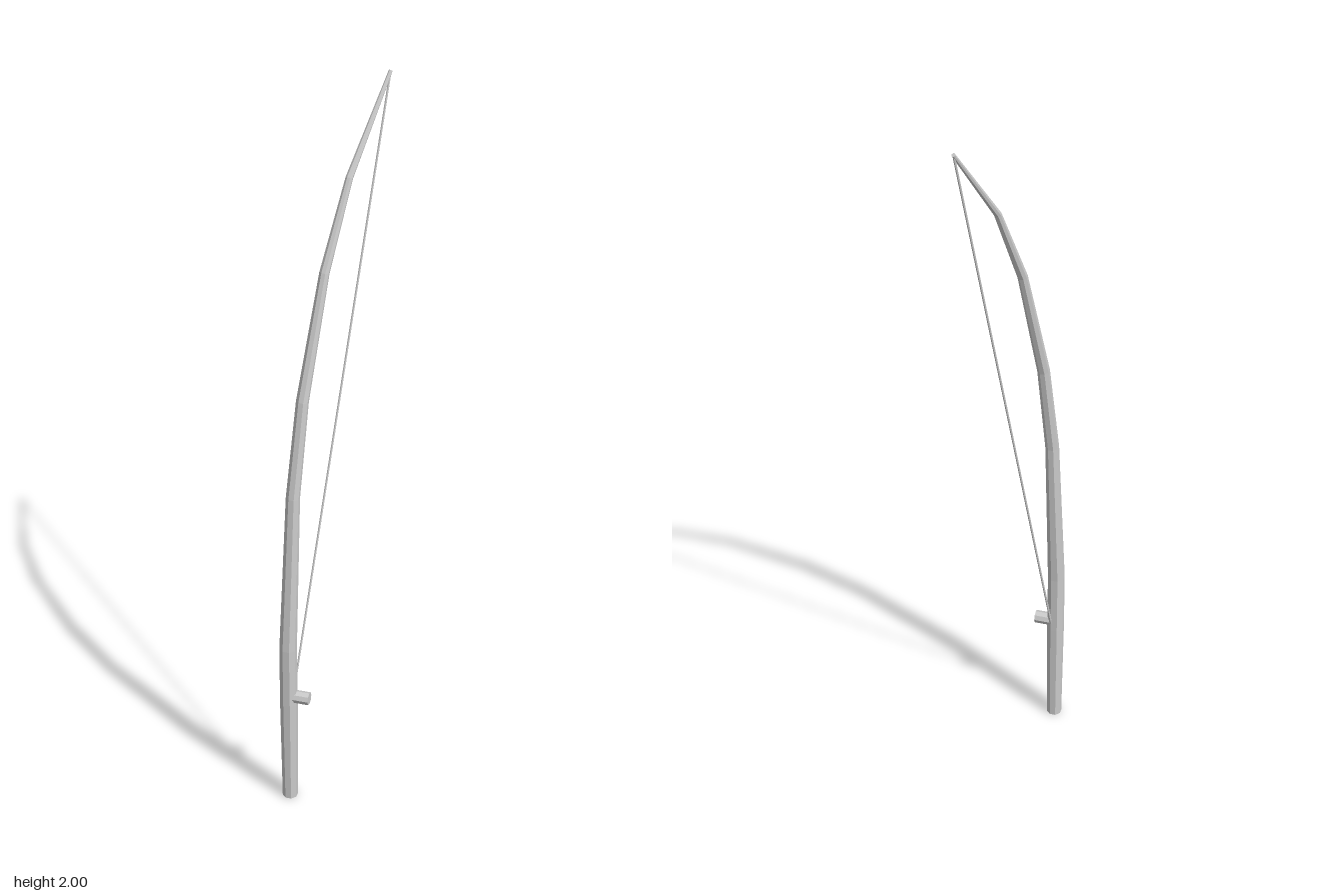
import * as THREE from 'three';

const SIDES = 8;
const Z = -0.018;
const material = new THREE.MeshStandardMaterial({ color: 0xcccccc, flatShading: true });

// Tapered, capped tube through stations [x, y, radius], rings square to the bend
function loft(stations) {
  const pos = [], index = [];
  const last = stations.length - 1;
  stations.forEach(([x, y, r], i) => {
    const a = stations[Math.max(i - 1, 0)], b = stations[Math.min(i + 1, last)];
    const t = new THREE.Vector2(b[0] - a[0], b[1] - a[1]).normalize();
    for (let k = 0; k < SIDES; k++) {
      const ang = (k / SIDES) * Math.PI * 2, u = r * Math.cos(ang);
      pos.push(x + u * t.y, y - u * t.x, Z + r * Math.sin(ang));
    }
  });
  for (let i = 0; i < last; i++) {
    for (let k = 0; k < SIDES; k++) {
      const n = (k + 1) % SIDES, lo = i * SIDES, hi = lo + SIDES;
      index.push(lo + k, hi + k, hi + n, lo + k, hi + n, lo + n);
    }
  }
  // End caps as fans
  const top = last * SIDES;
  for (let k = 1; k < SIDES - 1; k++) {
    index.push(0, k, k + 1, top, top + k + 1, top + k);
  }
  const indexed = new THREE.BufferGeometry();
  indexed.setAttribute('position', new THREE.Float32BufferAttribute(pos, 3));
  indexed.setIndex(index);
  const geo = indexed.toNonIndexed();
  geo.computeVertexNormals();
  return geo;
}

// Straight cylinder between two points
function rodBetween(a, b, radius, sides, twist = 0) {
  const dir = b.clone().sub(a);
  const geo = new THREE.CylinderGeometry(radius, radius, dir.length(), sides);
  geo.rotateY(twist);
  const mesh = new THREE.Mesh(geo, material);
  mesh.position.copy(a).add(b).multiplyScalar(0.5);
  mesh.quaternion.setFromUnitVectors(new THREE.Vector3(0, 1, 0), dir.normalize());
  return mesh;
}

export function createModel() {
  const group = new THREE.Group();
  group.name = 'fishingRod';

  // Bent pole, thick at the grip and thin at the tip
  const pole = new THREE.Mesh(loft([
    [-0.2, 0, 0.021],
    [-0.2, 0.32, 0.024],
    [-0.2, 0.5, 0.0235],
    [-0.172, 0.96, 0.0185],
    [-0.13, 1.225, 0.0165],
    [-0.04, 1.55, 0.013],
    [0.058, 1.77, 0.0095],
    [0.22, 1.997, 0.005],
  ]), material);
  pole.name = 'pole';
  group.add(pole);

  // Small reel peg angled out of the front of the grip
  const reel = rodBetween(
    new THREE.Vector3(-0.2, 0.343, Z),
    new THREE.Vector3(-0.178, 0.343, 0.0355),
    0.0178, SIDES, Math.PI / SIDES);
  reel.name = 'reel';
  group.add(reel);

  // Taut line from the reel to the tip
  const line = rodBetween(
    new THREE.Vector3(-0.18, 0.34, Z),
    new THREE.Vector3(0.219, 1.995, Z),
    0.003, 6);
  line.name = 'line';
  group.add(line);

  return group;
}
